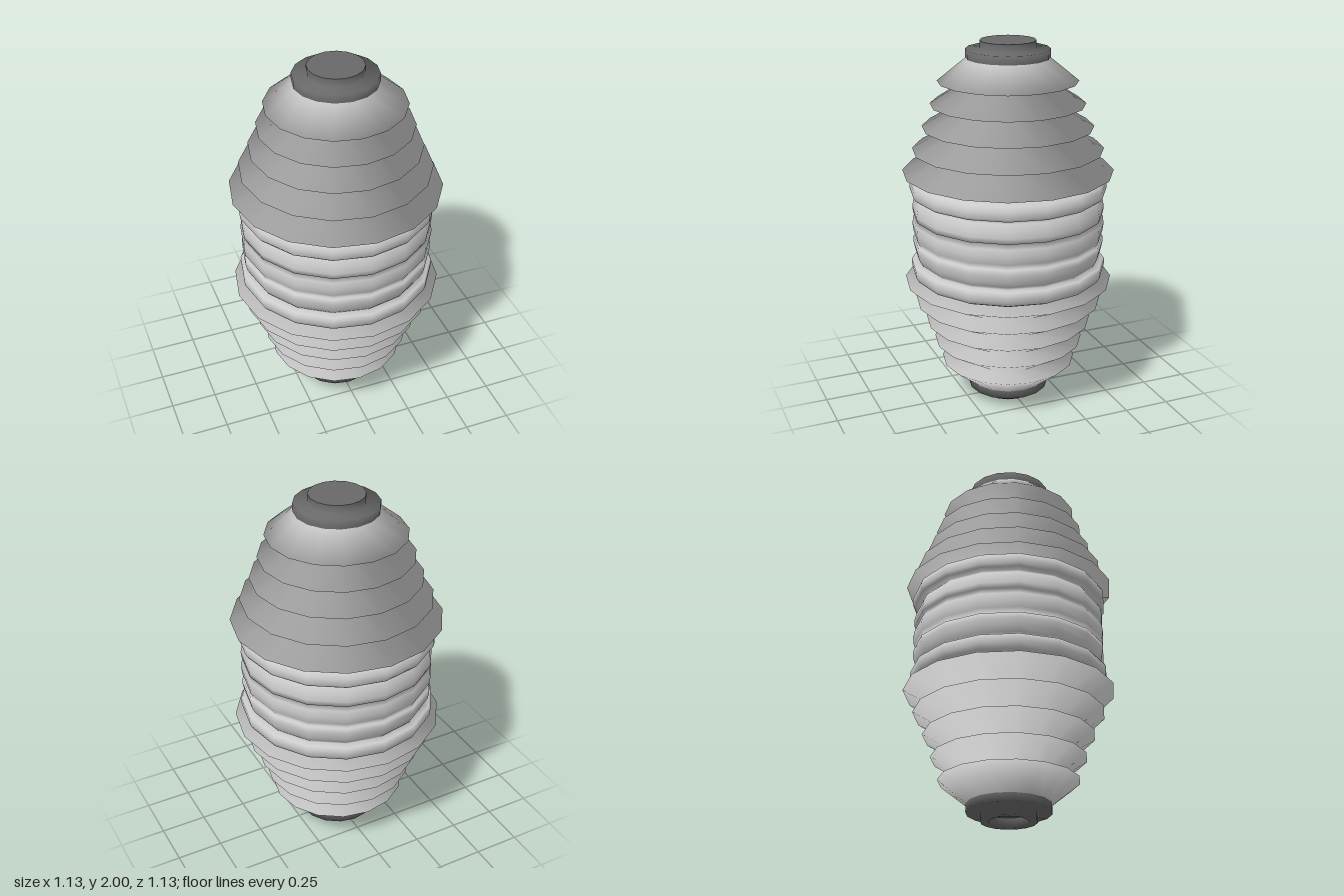
import * as THREE from 'three';

const SIDES = 16;
const paper = new THREE.MeshStandardMaterial({ color: 0xcccccc, side: THREE.DoubleSide });
const darkWood = new THREE.MeshStandardMaterial({ color: 0x686868, side: THREE.DoubleSide });

// Turned part from [radius, y] points listed bottom to top, shaded smoothly
// over every fold: each point takes the mean direction of its two neighbours
function turned(name, profile, material) {
  const points = profile.map(([r, y]) => new THREE.Vector2(r, y));
  const geometry = new THREE.LatheGeometry(points, SIDES);
  const faces = points.slice(1).map((p, j) => {
    const d = p.clone().sub(points[j]).normalize();
    return new THREE.Vector2(d.y, -d.x);
  });
  const normal = geometry.attributes.normal;
  for (let i = 0; i <= SIDES; i++) {
    const phi = (i / SIDES) * Math.PI * 2;
    points.forEach((p, j) => {
      const n = faces[Math.max(j - 1, 0)].clone().add(faces[Math.min(j, faces.length - 1)]).normalize();
      normal.setXYZ(i * points.length + j, n.x * Math.sin(phi), n.y, n.x * Math.cos(phi));
    });
  }
  const mesh = new THREE.Mesh(geometry, material);
  mesh.name = name;
  return mesh;
}

// Same profile reflected about mid-height, still listed bottom to top
const flip = (profile) => profile.map(([r, y]) => [r, 2 - y]).reverse();

export function createModel() {
  const group = new THREE.Group();
  group.name = 'paperLantern';

  // Rounded ribs from mid-height up to the shoulder
  const upper = [
    [0.52, 1], [0.515, 1.04], [0.5, 1.068],
    [0.515, 1.07], [0.518, 1.1], [0.51, 1.14], [0.495, 1.17], [0.48, 1.188],
    [0.52, 1.19], [0.53, 1.205], [0.528, 1.24], [0.515, 1.265], [0.49, 1.278], [0.36, 1.305],
  ];

  // Flared pleats, lowest first: [rim radius, neck radius]
  const pleats = [[0.565, 0.33], [0.51, 0.28], [0.455, 0.24], [0.41, 0.22], [0.37, 0.22]];
  pleats.forEach(([rim, neck], i) => {
    const y = 1.305 + i * 0.121;
    upper.push([rim, y], [neck, y + 0.121]);
  });
  upper.push([0.22, 1.93]); // stub inside the collar

  group.add(turned('paperBody', [...flip(upper.slice(1)), ...upper], paper));

  // Stepped end collars with a solid knob on top and a hollow ring below
  const collar = [[0.222, 1.91], [0.222, 1.955], [0.147, 1.955], [0.147, 2]];
  group.add(turned('topCollar', collar, darkWood));
  group.add(turned('topKnobFace', [[0.147, 2], [0, 2]], darkWood));
  group.add(turned('bottomCollar', [[0.105, 0.05], [0.105, 0], ...flip(collar)], darkWood));
  group.add(turned('bottomRecess', [[0, 0.05], [0.105, 0.05]], darkWood));

  return group;
}
